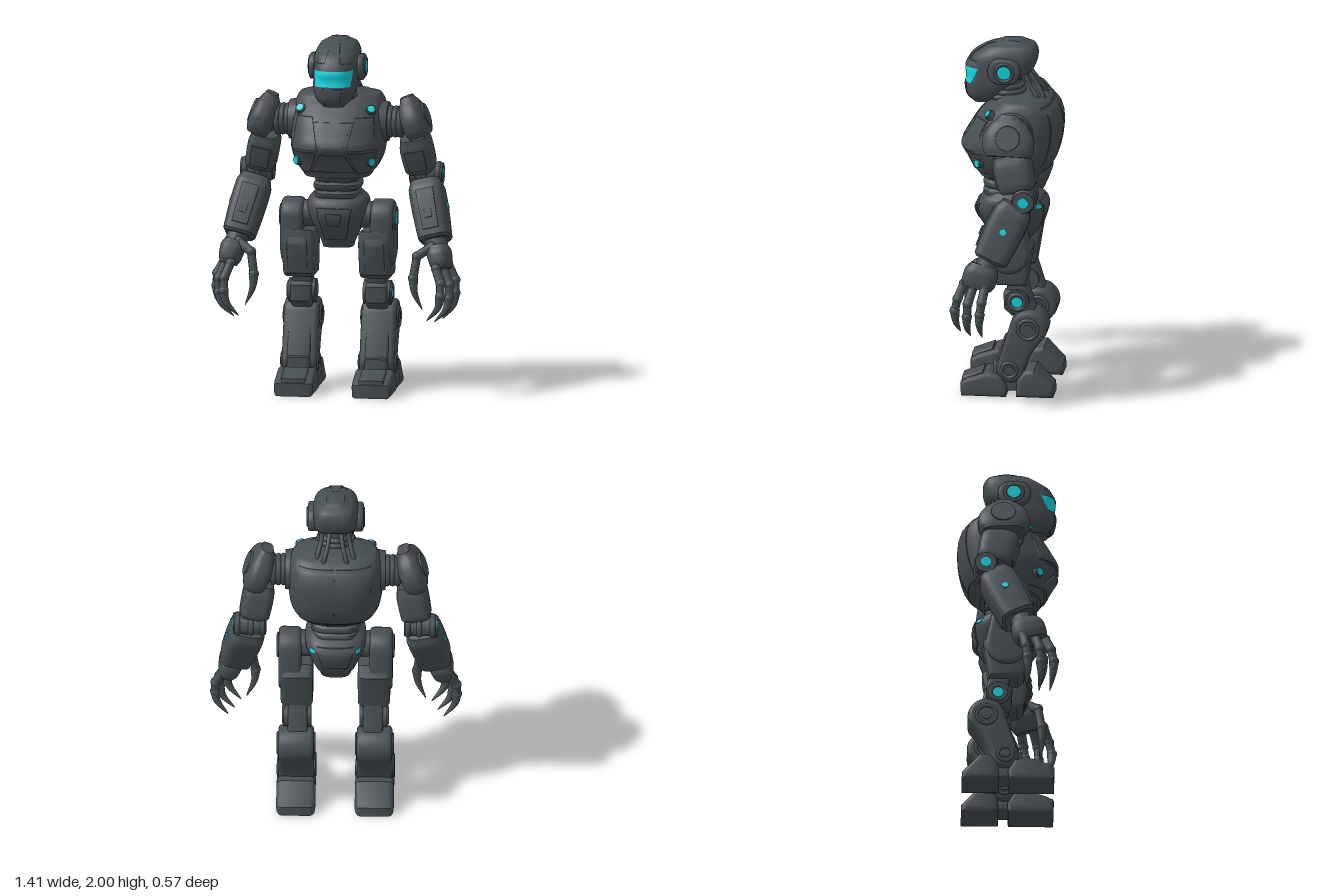
import * as THREE from 'three';
import { toCreasedNormals } from 'three/addons/utils/BufferGeometryUtils.js';

const armour = new THREE.MeshStandardMaterial({ color: 0x474f53 });
armour.name = 'dark armour';
const glow = new THREE.MeshStandardMaterial({ color: 0x14d4e0 });
glow.name = 'cyan light';
const V = (x, y, z) => new THREE.Vector3(x, y, z);

function add(parent, name, geo, mat = armour) {
  const mesh = new THREE.Mesh(geo, mat);
  mesh.name = name;
  parent.add(mesh);
}

// Grid surface from a point rule; u runs right and v runs up when seen from outside
function grid(nu, nv, fn) {
  const pos = [], idx = [];
  for (let i = 0; i <= nv; i++) for (let j = 0; j <= nu; j++) pos.push(...fn(j, i));
  for (let i = 0; i < nv; i++) for (let j = 0; j < nu; j++) {
    const a = i * (nu + 1) + j, d = a + nu + 1;
    idx.push(a, a + 1, d + 1, a, d + 1, d);
  }
  const g = new THREE.BufferGeometry();
  g.setAttribute('position', new THREE.Float32BufferAttribute(pos, 3));
  g.setIndex(idx);
  return toCreasedNormals(g, 0.6);
}

// Smooth cross-section at height y; rows are [y, halfWidth, zBack, zFront]
function section(rows, y) {
  let k = 0;
  while (k < rows.length - 2 && y > rows[k + 1][0]) k++;
  const b = rows[k], c = rows[k + 1], a = rows[k - 1] || b, d = rows[k + 2] || c;
  const t = (y - b[0]) / (c[0] - b[0]);
  const mix = (i) => b[i] + 0.5 * t * (c[i] - a[i] + t * (2 * a[i] - 5 * b[i] + 4 * c[i] - d[i] + t * (3 * (b[i] - c[i]) + d[i] - a[i])));
  const zb = mix(2), zf = mix(3);
  return { hw: mix(1), cz: (zb + zf) / 2, rz: (zf - zb) / 2 };
}

// Closed rounded-box shell lofted through the rows; higher n is boxier
function shell(rows, nFront = 3, nBack = nFront) {
  const ys = [rows[0][0]];
  for (let i = 1; i < rows.length; i++) for (let s = 1; s <= 4; s++) ys.push(rows[i - 1][0] + (rows[i][0] - rows[i - 1][0]) * s / 4);
  const p = (v, n) => Math.sign(v) * Math.pow(Math.abs(v), 2 / n);
  return grid(48, ys.length + 1, (j, i) => {
    const y = ys[Math.min(Math.max(i - 1, 0), ys.length - 1)];
    const k = i === 0 || i === ys.length + 1 ? 0 : 1;
    const s = section(rows, y), a = j / 48 * Math.PI * 2, n = Math.cos(a) > 0 ? nFront : nBack;
    return [k * s.hw * p(Math.sin(a), n), y, s.cz + k * s.rz * p(Math.cos(a), n)];
  });
}

// Raised plate following a shell; [x0, x1] at the bottom and at the top, side -1 is the back
function plate(rows, y0, y1, bottom, top, off = 0.012, side = 1, n = 3) {
  const N = 14, M = 10, f = (k, m) => Math.min(Math.max((k - 1) / (m - 2), 0), 1);
  return grid(N, M, (j, i) => {
    const u = side < 0 ? 1 - f(j, N) : f(j, N), v = f(i, M), y = y0 + (y1 - y0) * v, s = section(rows, y);
    const l = bottom[0] + (top[0] - bottom[0]) * v, r = bottom[1] + (top[1] - bottom[1]) * v;
    const x = l + (r - l) * u, q = Math.min(Math.abs(x) / s.hw, 0.985);
    const edge = j === 0 || j === N || i === 0 || i === M;
    return [x, y, s.cz + side * (s.rz * Math.pow(1 - q ** n, 1 / n) + (edge ? -0.006 : off))];
  });
}

// Side profile (z, y) extruded across x0..x1 with rounded edges
function slab(profile, x0, x1, b = 0.02) {
  const shape = Array.isArray(profile) ? new THREE.Shape(profile.map(([z, y]) => new THREE.Vector2(z, y))) : profile;
  const depth = x1 - x0 - 2 * b;
  const g = new THREE.ExtrudeGeometry(shape, { depth, bevelSize: b, bevelThickness: b, bevelOffset: -b, bevelSegments: 3, curveSegments: 14 });
  g.translate(0, 0, -depth / 2).rotateY(-Math.PI / 2).translate((x0 + x1) / 2, 0, 0);
  return toCreasedNormals(g, 0.6);
}

// Outline wrapping two circles, in (z, y), with an optional hollow in its back edge
function link(z1, y1, r1, z2, y2, r2, hollow) {
  const a = Math.atan2(y1 - y2, z1 - z2), h = Math.PI / 2, s = new THREE.Shape();
  s.absarc(z1, y1, r1, a - h, a + h, false);
  if (hollow) s.quadraticCurveTo(...hollow, z2 + r2 * Math.cos(a + h), y2 + r2 * Math.sin(a + h));
  s.absarc(z2, y2, r2, a + h, a + 3 * h, false);
  return s;
}

const barrel = (x0, x1, y, z, r, r2 = r) => new THREE.CylinderGeometry(r2, r, x1 - x0, 32).rotateZ(-Math.PI / 2).translate((x0 + x1) / 2, y, z);
const ring = (x, y, z, r, t) => new THREE.TorusGeometry(r, t, 8, 32).rotateY(Math.PI / 2).translate(x, y, z);

// Group at the low point whose y axis aims at the high point
function limb(parent, name, low, high) {
  const g = new THREE.Group();
  g.name = name;
  g.position.copy(low);
  g.quaternion.setFromUnitVectors(V(0, 1, 0), high.clone().sub(low).normalize());
  parent.add(g);
  return g;
}

// Tube whose radius follows a rule
function taper(points, radius) {
  const curve = new THREE.CatmullRomCurve3(points), g = new THREE.TubeGeometry(curve, 20, 1, 10);
  const p = g.attributes.position, v = V(0, 0, 0);
  for (let i = 0; i < p.count; i++) {
    const t = Math.floor(i / 11) / 20, c = curve.getPointAt(t);
    v.fromBufferAttribute(p, i).sub(c).multiplyScalar(radius(t)).add(c);
    p.setXYZ(i, v.x, v.y, v.z);
  }
  return g;
}

const HEAD = [[1.64, .06, .13, .218], [1.68, .1, .07, .25], [1.74, .118, .01, .262], [1.79, .123, -.06, .255], [1.84, .125, -.122, .258], [1.92, .123, -.143, .215], [1.97, .1, -.125, .14], [2, .05, -.07, .06]];
const TORSO = [[1.23, .185, -.16, .18], [1.28, .222, -.215, .205], [1.34, .25, -.25, .235], [1.41, .262, -.27, .275], [1.48, .262, -.28, .243], [1.56, .26, -.28, .195], [1.63, .25, -.255, .13], [1.68, .225, -.2, .075], [1.7, .165, -.15, .045]];
const PELVIS = [[.82, .085, -.08, .08], [.9, .115, -.15, .13], [1, .155, -.19, .185], [1.06, .17, -.195, .185], [1.1, .162, -.165, .165], [1.13, .135, -.12, .12]];

function buildCore(root) {
  // Head
  const face = (y0, y1, low, high, off) => plate(HEAD, y0, y1, low, high, off, 1, 2.6);
  add(root, 'helmet', shell(HEAD, 2.6, 3.5));
  add(root, 'visor', face(1.76, 1.85, [-.1, .1], [-.111, .111], .004), glow);
  add(root, 'brow', face(1.85, 1.89, [-.112, .112], [-.1, .1], .01));
  add(root, 'crest', face(1.89, 1.985, [-.045, .045], [-.025, .025], .01));
  add(root, 'chinGuard', face(1.655, 1.75, [-.04, .04], [-.06, .06], .006));
  // Neck
  add(root, 'neck', new THREE.CylinderGeometry(.075, .09, .2, 32).translate(0, 1.69, .03));
  for (let i = 0; i < 3; i++) add(root, 'neckRing', new THREE.TorusGeometry(.1 - i * .01, .017, 8, 36).rotateX(Math.PI / 2).translate(0, 1.68 + i * .028, .03));
  // Torso
  const chest = (y0, y1, low, high, off) => plate(TORSO, y0, y1, low, high, off, 1, 2.6);
  add(root, 'torso', shell(TORSO, 2.6, 3));
  add(root, 'bellyPlate', chest(1.27, 1.375, [-.125, .125], [-.07, .07], .014));
  add(root, 'breastbone', chest(1.42, 1.55, [-.06, .06], [-.11, .11], .006));
  for (const s of [-1, 1]) {
    const span = (a, b) => (s > 0 ? [a, b] : [-b, -a]);
    add(root, 'chestPlate', chest(1.4, 1.575, span(.08, .235), span(.12, .215), .01));
    add(root, 'flankPlate', chest(1.26, 1.385, span(.135, .19), span(.09, .24), .01));
    add(root, 'backPlate', plate(TORSO, 1.29, 1.66, span(.006, .2), span(.006, .2), .004, -1));
    add(root, 'pelvisLight', plate(PELVIS, 1.052, 1.074, span(.116, .142), span(.116, .142), .008, -1), glow);
  }
  // Waist
  for (let i = 0; i < 3; i++) {
    const y = 1.1 + i * .05, w = .122 + (i % 2) * .008;
    add(root, 'waistSegment', shell([[y, w - .012, -.12, .13], [y + .01, w, -.135, .15], [y + .037, w, -.135, .16], [y + .049, w - .012, -.12, .145]], 4));
  }
  // Pelvis
  add(root, 'pelvis', shell(PELVIS));
  add(root, 'pelvisPlate', plate(PELVIS, .87, 1.06, [-.06, .06], [-.1, .1]));
  add(root, 'pelvisBuckle', plate(PELVIS, .96, 1.03, [-.035, .035], [-.045, .045], .02));
  add(root, 'pelvisBackPlate', plate(PELVIS, .95, 1.09, [-.07, .07], [-.105, .105], .008, -1));
}

function buildHead(side) {
  // Ear covers and neck cables
  add(side, 'earCover', slab(link(.05, 1.845, .075, .01, 1.845, .07), .1, .155, .015));
  add(side, 'earRing', ring(.154, 1.845, .03, .05, .009));
  add(side, 'earLight', barrel(.152, .161, 1.845, .03, .037), glow);
  [.03, .07].forEach((x, i) => add(side, 'neckCable', taper([V(x, 1.85, -.07), V(x + .01, 1.77, -.13 + i * .03), V(x + .03, 1.7, -.175 + i * .03), V(x + .045, 1.65, -.19 + i * .03)], () => .013)));
  // Chest lights in raised sockets
  for (const [at, aim] of [[V(.2, 1.616, .112), V(.25, .6, .75)], [V(.212, 1.328, .172), V(.7, -.1, .7)]]) {
    const lamp = limb(side, 'chestLamp', at, at.clone().add(aim));
    add(lamp, 'lampSocket', new THREE.CylinderGeometry(.028, .034, .05, 20).translate(0, -.025, 0));
    add(lamp, 'chestLight', new THREE.CylinderGeometry(.022, .022, .009, 20).translate(0, .003, 0), glow);
  }
}

function buildArm(side) {
  // Shoulder
  add(side, 'shoulderSocket', barrel(.2, .28, 1.525, -.03, .125, .11));
  add(side, 'shoulderAxle', barrel(.25, .42, 1.525, -.03, .07));
  for (let i = 0; i < 3; i++) add(side, 'shoulderRib', ring(.29 + i * .028, 1.525, -.03, .074, .017));
  const pad = limb(side, 'shoulder', V(.46, 1.45, -.02), V(.378, 1.67, -.025));
  add(pad, 'shoulderPad', shell([[0, .06, -.13, .11], [.03, .07, -.15, .13], [.11, .072, -.15, .135], [.18, .06, -.11, .1], [.235, .035, -.05, .045]]));
  add(pad, 'shoulderDisc', barrel(.05, .076, .1, -.01, .075, .068));
  // Upper arm
  const upper = limb(side, 'upperArm', V(.455, 1.25, -.092), V(.412, 1.47, -.04));
  const UPPER = [[0, .073, -.08, .09], [.02, .085, -.097, .102], [.15, .087, -.105, .112], [.21, .073, -.095, .1]];
  add(upper, 'upperArmShell', shell(UPPER, 4));
  add(upper, 'upperArmPanel', plate(UPPER, .03, .15, [-.05, .05], [-.055, .055], .008, 1, 4));
  // Elbow
  add(side, 'elbowJoint', barrel(.385, .57, 1.22, -.13, .06));
  for (const x of [.405, .47, .545]) add(side, 'elbowRing', ring(x, 1.22, -.13, .05, .019));
  add(side, 'elbowLight', barrel(.567, .575, 1.22, -.13, .029), glow);
  // Forearm
  const fore = limb(side, 'forearm', V(.557, .87, .055), V(.467, 1.22, -.105));
  const FORE = [[0, .078, -.083, .088], [.015, .09, -.096, .101], [.17, .098, -.105, .11], [.3, .097, -.102, .107], [.347, .082, -.08, .085]];
  add(fore, 'forearmShell', shell(FORE, 4));
  add(fore, 'forearmPanel', plate(FORE, .05, .28, [-.045, .045], [-.05, .05], .01, 1, 4));
  add(fore, 'forearmHatch', plate(FORE, .11, .16, [-.02, .02], [-.02, .02], .018, 1, 4));
  add(fore, 'forearmLight', barrel(.096, .105, .185, .002, .018), glow);
  // Hand
  add(limb(side, 'wrist', V(.575, .82, .085), V(.55, .9, .05)), 'wristJoint', new THREE.CylinderGeometry(.062, .062, .1, 24).translate(0, .02, 0));
  add(limb(side, 'hand', V(.605, .72, .12), V(.57, .86, .085)), 'palm', shell([[0, .047, -.075, .085], [.03, .06, -.09, .1], [.1, .067, -.09, .097], [.14, .052, -.072, .075]]));
  const fingers = [
    [V(.58, .74, .2), V(.611, .66, .232), V(.612, .59, .248), V(.53, .445, .225)],
    [V(.615, .73, .145), V(.652, .645, .17), V(.65, .57, .175), V(.565, .43, .165)],
    [V(.63, .74, .075), V(.672, .66, .09), V(.674, .59, .1), V(.6, .435, .095)],
    [V(.545, .85, .13), V(.468, .8, .17), V(.45, .68, .19), V(.5, .5, .18)],
  ];
  fingers.forEach(([a, b, c, d], i) => {
    const name = i < 3 ? 'finger' : 'thumb', mid = c.clone().lerp(d, .45).add(V(i < 3 ? .022 : -.015, 0, .006));
    add(side, name + 'Base', taper([a, a.clone().lerp(b, .5), b], () => .026));
    for (const p of [a, b, c]) add(side, name + 'Knuckle', new THREE.SphereGeometry(.029, 14, 10).translate(p.x, p.y, p.z));
    add(side, name + 'Middle', taper([b, b.clone().lerp(c, .5), c], () => .024));
    add(side, name + 'Claw', taper([c, mid, d], (t) => .027 * (1 - t) ** .8 + .001));
  });
}

function buildLeg(side) {
  // Hip and thigh
  add(side, 'hipAxle', barrel(.1, .22, 1, 0, .075));
  add(side, 'hipCover', slab(link(0, .985, .105, -.01, .84, .125), .19, .318, .025));
  add(side, 'hipRing', ring(.317, .985, 0, .06, .012));
  add(side, 'hipLight', barrel(.316, .325, .985, 0, .041), glow);
  add(side, 'thigh', slab([[.11, .92], [.125, .84], [.085, .67], [.05, .645], [-.11, .645], [-.145, .86], [-.1, .92]], .125, .305, .025));
  add(side, 'thighFrontPlate', slab([[.11, .9], [.132, .84], [.097, .7], [.06, .7], [.06, .9]], .16, .275, .012));
  // Knee
  add(side, 'kneeLink', slab(link(-.05, .66, .055, -.11, .43, .065), .155, .265, .015));
  add(side, 'kneeJoint', barrel(.135, .288, .55, -.06, .068));
  add(side, 'kneeCap', slab([[-.02, .62], [.02, .59], [.015, .5], [-.03, .46], [-.09, .5], [-.09, .6]], .15, .275, .02));
  add(side, 'kneeRing', ring(.287, .55, -.06, .044, .012));
  add(side, 'kneeLight', barrel(.286, .295, .55, -.06, .03), glow);
  // Shin
  add(side, 'shin', slab(link(-.125, .4, .105, -.025, .16, .078, [-.125, .25]), .12, .318, .025));
  add(side, 'shinPlate', slab([[-.035, .44], [-.02, .4], [.05, .23], [.062, .17], [.02, .16], [-.08, .4]], .155, .285, .012));
  for (const x of [.12, .318]) for (const [name, y, z, r] of [['shin', .4, -.125, .055], ['ankle', .16, -.02, .042]]) {
    add(side, name + 'Disc', ring(x, y, z, r, .01));
    add(side, name + 'Hub', barrel(x - .007, x + .007, y, z, r * .54));
  }
  // Foot
  add(side, 'ankleBlock', slab([[.08, .06], [.075, .19], [.03, .205], [-.1, .15], [-.1, .05]], .155, .285, .02));
  add(side, 'toe', slab([[.252, 0], [.255, .075], [.22, .1], [.1, .14], [.03, .12], [-.005, .06], [0, 0]], .11, .328, .02));
  add(side, 'toeCap', slab([[.253, .03], [.25, .1], [.13, .146], [.12, .06]], .15, .29, .012));
  add(side, 'heel', slab([[-.055, 0], [-.06, .1], [-.1, .155], [-.16, .165], [-.215, .105], [-.262, .055], [-.264, 0]], .11, .328, .03));
  add(side, 'soleLink', slab([[.05, .03], [.05, .1], [-.1, .1], [-.1, .03]], .15, .29, .01));
}

export function createModel() {
  const root = new THREE.Group();
  root.name = 'robot';
  buildCore(root);
  for (const s of [1, -1]) {
    const side = new THREE.Group();
    side.name = s > 0 ? 'leftSide' : 'rightSide';
    side.scale.x = s;
    for (const build of [buildHead, buildArm, buildLeg]) build(side);
    root.add(side);
  }
  return root;
}
